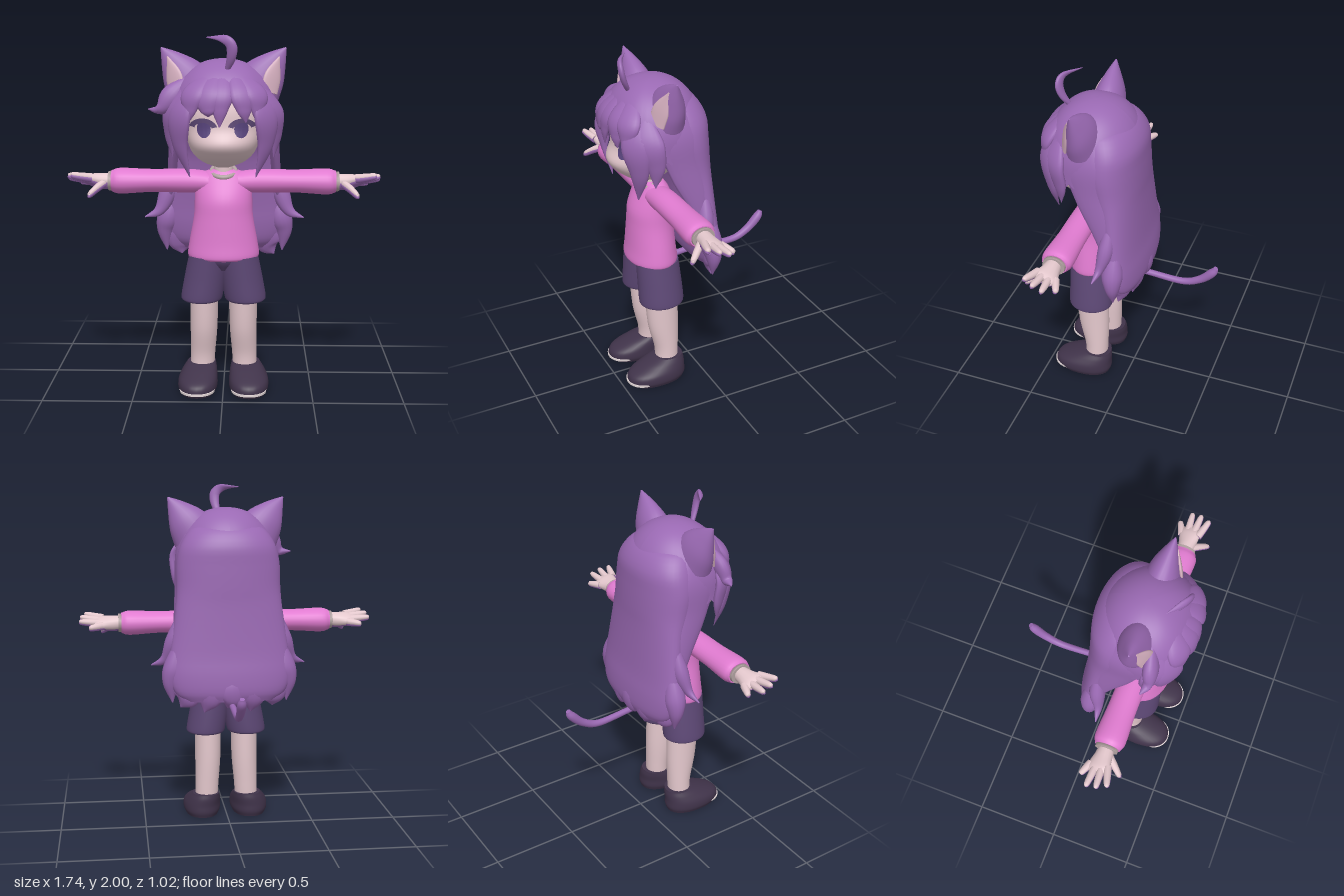
import * as THREE from 'three';

const mat = (name, color, side = THREE.FrontSide) => {
  const m = new THREE.MeshStandardMaterial({ color, side });
  m.name = name;
  return m;
};

// Sweeps an ellipse along a smooth path. Rows are [x, y, z, halfWidth, halfThickness].
// hint is the width direction; axis, if given, keeps every ring square to it.
function sweep(rows, { hint = [1, 0, 0], axis = null, n = 16, m = 20, p = 1 } = {}) {
  const path = new THREE.CatmullRomCurve3(rows.map(r => new THREE.Vector3(r[0], r[1], r[2])), false, 'catmullrom', 0.5);
  const size = new THREE.CatmullRomCurve3(rows.map(r => new THREE.Vector3(r[3], r[4], 0)), false, 'catmullrom', 0.5);
  const pos = [], idx = [], pow = v => Math.sign(v) * Math.abs(v) ** p;
  for (let i = 0; i <= m; i++) {
    const c = path.getPoint(i / m), s = size.getPoint(i / m);
    const T = axis ? new THREE.Vector3(...axis) : path.getTangent(i / m);
    const S = new THREE.Vector3(...hint);
    S.addScaledVector(T, -S.dot(T)).normalize();
    const N = T.clone().cross(S);
    for (let j = 0; j < n; j++) {
      const a = j / n * Math.PI * 2;
      const v = c.clone().addScaledVector(S, pow(Math.cos(a)) * Math.max(s.x, 0.001))
        .addScaledVector(N, pow(Math.sin(a)) * Math.max(s.y, 0.001));
      pos.push(v.x, v.y, v.z);
    }
    if (i < m) for (let j = 0; j < n; j++) {
      const a = i * n + j, b = i * n + (j + 1) % n;
      idx.push(a, b, b + n, a, b + n, a + n);
    }
  }
  // separate rings for the end caps keep their rims sharp
  for (const end of [0, m]) {
    const base = pos.length / 3, c = path.getPoint(end / m);
    pos.push(...pos.slice(end * n * 3, (end + 1) * n * 3), c.x, c.y, c.z);
    for (let j = 0; j < n; j++) {
      const a = base + j, b = base + (j + 1) % n;
      if (end) idx.push(a, b, base + n); else idx.push(b, a, base + n);
    }
  }
  const g = new THREE.BufferGeometry();
  g.setAttribute('position', new THREE.Float32BufferAttribute(pos, 3));
  g.setIndex(idx);
  g.computeVertexNormals();
  return g;
}

// Stacks horizontal rings. Rows are [y, halfX, halfZ, centreZ, centreX].
const loft = (rows, opt = {}) =>
  sweep(rows.map(([y, w, t, z, x = 0]) => [x, y, z, w, t]), { axis: [0, 1, 0], n: 32, m: 32, ...opt });

export function createModel() {
  const root = new THREE.Group();
  const hair = mat('hair purple', 0x9a69b3, THREE.DoubleSide);
  const skin = mat('skin', 0xe4c8cd);
  const pink = mat('sweater pink', 0xe07bd0);
  const navy = mat('shorts purple', 0x5c4774);
  const dark = mat('shoe dark', 0x40334a);
  const grey = mat('trim grey', 0xb3a3a3);
  const inner = mat('ear inside', 0xd6b0c0);
  const iris = mat('eye purple', 0x56427a);
  const cream = mat('sole light', 0xe8dcdc);
  const add = (name, g, m, parent = root) => {
    const mesh = new THREE.Mesh(g, m);
    mesh.name = name;
    parent.add(mesh);
    return mesh;
  };

  // Head with the face jutting forward at nose height, and neck
  const head = add('head', loft([[1.285, 0.04, 0.04, 0.3], [1.312, 0.115, 0.11, 0.275], [1.36, 0.168, 0.172, 0.273],
    [1.42, 0.195, 0.218, 0.264], [1.5, 0.212, 0.2, 0.252], [1.6, 0.22, 0.192, 0.25], [1.72, 0.17, 0.17, 0.24]],
    { n: 48 }), skin);
  add('neck', loft([[1.2, 0.055, 0.055, 0.23], [1.33, 0.05, 0.05, 0.24]]), skin);

  // Eyes: thin patches laid onto the face
  head.updateMatrixWorld();
  const ray = new THREE.Raycaster();
  const onFace = (g, lift) => {
    const q = g.attributes.position;
    for (let i = 0; i < q.count; i++) {
      ray.set(new THREE.Vector3(q.getX(i), q.getY(i), 2), new THREE.Vector3(0, 0, -1));
      const hit = ray.intersectObject(head)[0];
      q.setZ(i, (hit ? hit.point.z : 0.4) + lift);
    }
    g.computeVertexNormals();
    return g;
  };
  for (const s of [-1, 1]) {
    add('iris', onFace(new THREE.RingGeometry(0.0005, 1, 28, 6).scale(0.038, 0.048, 1).translate(s * 0.1, 1.507, 0), 0.005), iris);
    add('eyelash', onFace(new THREE.RingGeometry(0.62, 1, 28, 3, 0.3, Math.PI - 0.6)
      .scale(0.08, 0.062, 1).translate(s * 0.105, 1.5, 0), 0.008), navy);
  }

  // Hair cap, open over the face, boxier at the front than at the back
  const smooth = THREE.MathUtils.smoothstep;
  const cap = new THREE.SphereGeometry(1, 48, 24);
  const cp = cap.attributes.position, uv = cap.attributes.uv;
  for (let i = 0; i < cp.count; i++) {
    const a = uv.getX(i) * Math.PI * 2 - Math.PI, b = Math.abs(a);
    const phi = (1 - uv.getY(i)) * (1.28 + 0.6 * smooth(b, 0.75, 1.15) - 0.3 * smooth(b, 1.9, 2.3));
    const r = phi < Math.PI / 2 ? Math.sin(phi) ** 0.93 : 1;
    const k = Math.cos(a) > 0 ? 0.84 : 1;
    cp.setXYZ(i, Math.sign(a) * Math.abs(Math.sin(a)) ** k * 0.3 * r, 1.56 + 0.31 * Math.cos(phi),
      0.215 + Math.sign(Math.cos(a)) * Math.abs(Math.cos(a)) ** k * (k < 1 ? 0.28 : 0.27) * r);
  }
  // turn the faces that the remapping leaves inside out
  const ci = cap.index.array, A = new THREE.Vector3(), B = new THREE.Vector3(), C = new THREE.Vector3();
  for (let i = 0; i < ci.length; i += 3) {
    [A, B, C].forEach((v, k) => v.fromBufferAttribute(cp, ci[i + k]));
    const mid = A.clone().add(B).add(C).divideScalar(3).sub(new THREE.Vector3(0, 1.45, 0.215));
    if (B.sub(A).cross(C.sub(A)).dot(mid) < 0) [ci[i + 1], ci[i + 2]] = [ci[i + 2], ci[i + 1]];
  }
  cap.computeVertexNormals();
  add('hairCap', cap, hair);

  // Fringe and side locks: points [x, y, halfWidth, zOffset] resting on the cap
  const lock = (name, pts) => {
    const rows = pts.map(([x, y, w, dz = 0]) => {
      const d = 1 - Math.abs(x / 0.315) ** 2.4 - (Math.max(0, y - 1.56) / 0.32) ** 2;
      return [x, y, 0.207 + 0.285 * Math.max(d, 0.03) ** 0.45 + dz, w, Math.min(0.026, w * 0.45)];
    });
    const [x, , z] = rows[1];
    add(name, sweep(rows, { hint: [(z - 0.215) / 0.081, 0, -x / 0.096], m: 24 }), hair);
  };
  [[-0.05, -0.15, -0.19, 1.53, 0.07], [-0.02, -0.075, -0.075, 1.575, 0.075], [0.0, -0.01, -0.015, 1.52, 0.07],
    [0.04, 0.1, 0.125, 1.545, 0.07], [0.06, 0.17, 0.2, 1.5, 0.07]].forEach(([x0, x1, x2, y, w]) =>
    lock('fringeLock', [[x0, 1.83, 0.012, -0.025], [x1, 1.7, w, -0.004], [x1 * 0.4 + x2 * 0.6, 1.61, w * 0.62], [x2, y, 0.003]]));
  for (const s of [-1, 1]) {
    lock('sideLock', [[s * 0.14, 1.8, 0.012, -0.03], [s * 0.225, 1.6, 0.08, -0.005], [s * 0.23, 1.42, 0.055, -0.02], [s * 0.178, 1.24, 0.003, -0.07]]);
    lock('outerLock', [[s * 0.19, 1.76, 0.012, -0.03], [s * 0.268, 1.6, 0.085, -0.01], [s * 0.285, 1.47, 0.055, -0.02], [s * 0.275, 1.34, 0.003, -0.04]]);
    add('templeHair', sweep([[s * 0.22, 1.76, 0.18, 0.03, 0.012], [s * 0.272, 1.6, 0.18, 0.12, 0.026], [s * 0.28, 1.42, 0.15, 0.1, 0.028],
      [s * 0.295, 1.22, 0.08, 0.07, 0.026], [s * 0.315, 1.02, 0.04, 0.02, 0.012]], { hint: [0, 0, 1] }), hair);
  }
  add('cheekWisp', sweep([[-0.17, 1.78, 0.3, 0.01, 0.01], [-0.27, 1.68, 0.33, 0.06, 0.04],
    [-0.335, 1.605, 0.34, 0.034, 0.028], [-0.405, 1.6, 0.32, 0.003, 0.003]]), hair);
  add('topCurl', sweep([[0.02, 1.81, 0.36, 0.012, 0.012], [0.045, 1.88, 0.395, 0.025, 0.016], [0.045, 1.945, 0.41, 0.03, 0.016],
    [0, 1.98, 0.395, 0.022, 0.012], [-0.09, 1.985, 0.33, 0.002, 0.002]], { hint: [1, 0.3, 0.3] }), hair);

  // Long back hair with ragged ends and flicked wisps
  add('backHair', loft([[0.765, 0.26, 0.06, -0.025], [0.82, 0.325, 0.088, -0.015], [0.92, 0.355, 0.098, -0.002], [1.05, 0.345, 0.098, 0.014],
    [1.3, 0.312, 0.116, 0.047], [1.42, 0.304, 0.145, 0.077], [1.55, 0.302, 0.165, 0.1], [1.66, 0.276, 0.165, 0.108],
    [1.75, 0.215, 0.14, 0.14], [1.79, 0.13, 0.08, 0.17]], { p: 0.95, n: 48 }), hair);
  for (let i = -2; i <= 2; i++) {
    const x = i * 0.12, z = -0.062 + i * i * 0.013;
    add('backTip', sweep([[x * 0.95, 1.0, z + 0.04, 0.03, 0.01], [x * 1.02, 0.87, z + 0.004, 0.085, 0.044], [x * 1.06, 0.78, z - 0.005, 0.075, 0.036],
      [x * 1.12 + 0.02, i % 2 ? 0.7 : 0.725, z + 0.005, 0.003, 0.003]], { hint: [1, 0, i * 0.15] }), hair);
  }
  for (const s of [-1, 1]) {
    add('hairWisp', sweep([[s * 0.27, 1.3, 0.04, 0.012, 0.012], [s * 0.318, 1.12, 0.05, 0.05, 0.045], [s * 0.37, 1.0, 0.075, 0.032, 0.025],
      [s * 0.455, 0.96, 0.09, 0.003, 0.003]]), hair);
    add('hairLobe', sweep([[s * 0.28, 1.15, 0.01, 0.012, 0.012], [s * 0.32, 0.97, 0.015, 0.062, 0.06], [s * 0.343, 0.87, 0.01, 0.05, 0.045],
      [s * 0.335, 0.75, 0.01, 0.003, 0.003]]), hair);
  }

  // Cat ears and tail
  for (const s of [-1, 1]) {
    add('ear', sweep([[s * 0.185, 1.72, 0.22, 0.14, 0.1], [s * 0.238, 1.795, 0.22, 0.11, 0.076], [s * 0.29, 1.865, 0.225, 0.06, 0.042],
      [s * 0.34, 1.928, 0.23, 0.004, 0.004]], { n: 24 }), hair);
    add('earInside', sweep([[s * 0.25, 1.69, 0.305, 0.05, 0.012], [s * 0.268, 1.78, 0.286, 0.05, 0.013],
      [s * 0.303, 1.88, 0.256, 0.004, 0.006]], { hint: [0.8, -0.5 * s, -0.4 * s] }), inner);
  }
  add('tail', sweep([[0, 0.73, 0.13, 0.018, 0.018], [-0.005, 0.74, -0.05, 0.018, 0.018], [-0.01, 0.725, -0.29, 0.02, 0.02],
    [-0.01, 0.765, -0.4, 0.023, 0.023], [-0.01, 0.835, -0.475, 0.026, 0.026], [-0.01, 0.875, -0.497, 0.014, 0.014]], { m: 40 }), hair);

  // Sweater, collar and shorts
  add('sweater', loft([[0.765, 0.185, 0.135, 0.243], [0.785, 0.2, 0.145, 0.243], [0.86, 0.19, 0.137, 0.243], [1.0, 0.165, 0.128, 0.243],
    [1.1, 0.16, 0.123, 0.238], [1.2, 0.155, 0.09, 0.225], [1.245, 0.11, 0.066, 0.225], [1.262, 0.06, 0.05, 0.23]]), pink);
  add('collar', new THREE.TorusGeometry(0.066, 0.014, 8, 28).rotateX(Math.PI / 2 + 0.4).translate(0, 1.25, 0.24), grey);
  add('shortsHip', loft([[0.7, 0.04, 0.08, 0.238], [0.75, 0.17, 0.115, 0.238], [0.8, 0.185, 0.128, 0.24]]), navy);

  for (const s of [-1, 1]) {
    const side = new THREE.Group();
    side.name = s > 0 ? 'leftLimbs' : 'rightLimbs';
    root.add(side);
    const put = (name, g, m) => add(name, g, m, side);
    // Leg, shorts leg and shoe
    put('shortsLeg', loft([[0.52, 0.108, 0.124, 0.233, s * 0.124], [0.54, 0.117, 0.132, 0.233, s * 0.122],
      [0.65, 0.115, 0.13, 0.235, s * 0.105], [0.78, 0.106, 0.126, 0.24, s * 0.088]]), navy);
    put('leg', loft([[0.1, 0.068, 0.068, 0.205, s * 0.122], [0.2, 0.07, 0.072, 0.205, s * 0.118], [0.36, 0.077, 0.092, 0.22, s * 0.112],
      [0.58, 0.08, 0.1, 0.23, s * 0.11]]), skin);
    put('shoe', loft([[0, 0.1, 0.168, 0.283, s * 0.145], [0.03, 0.112, 0.18, 0.285, s * 0.145], [0.07, 0.11, 0.17, 0.276, s * 0.143],
      [0.11, 0.096, 0.128, 0.234, s * 0.134], [0.14, 0.08, 0.085, 0.197, s * 0.126]], { p: 0.9 }), dark);
    put('toeStrip', loft([[0.017, 0.098, 0.1, 0.371, s * 0.145], [0.03, 0.1, 0.1, 0.371, s * 0.145]], { m: 2 }), cream);

    // Sleeve, cuff and hand
    const X = { hint: [0, 0, 1] }, tilt = { hint: [0, 0.35, 1] };
    put('sleeve', sweep([[s * 0.08, 1.19, 0.23, 0.075, 0.058], [s * 0.2, 1.195, 0.228, 0.078, 0.066], [s * 0.4, 1.195, 0.226, 0.08, 0.064],
      [s * 0.57, 1.193, 0.226, 0.088, 0.072], [s * 0.622, 1.193, 0.226, 0.072, 0.06]], { ...X, n: 24 }), pink);
    put('cuff', sweep([[s * 0.6, 1.193, 0.226, 0.066, 0.056], [s * 0.64, 1.193, 0.226, 0.064, 0.054]], { ...X, n: 24, m: 2 }), grey);
    // each hand is a skin layer over a purple underside, its front edge tilted up
    const digits = [[0.81, 1.178, 0.14], [0.87, 1.208, 0.195], [0.865, 1.226, 0.25], [0.84, 1.238, 0.305], [0.74, 1.135, 0.345]];
    for (const [label, m, dy, dz, k] of [['', skin, 0, 0, 1], ['Underside', hair, -0.008, 0.003, 0.92]]) {
      put('palm' + label, sweep([[s * 0.62, 1.195 + dy, 0.226 + dz, 0.042 * k, 0.042 * k], [s * 0.68, 1.193 + dy, 0.226 + dz, 0.052 * k, 0.042 * k],
        [s * 0.74, 1.2 + dy, 0.222 + dz, 0.064 * k, 0.03 * k], [s * 0.775, 1.204 + dy, 0.222 + dz, 0.05 * k, 0.016 * k]], tilt), m);
      digits.forEach(([x, y, z], i) => {
        const x0 = i === 4 ? 0.66 : 0.73, z0 = i === 4 ? 0.25 : 0.175 + i * 0.032, y0 = i === 4 ? 1.19 : 1.186 + i * 0.011;
        put((i === 4 ? 'thumb' : 'finger') + label, sweep([[s * x0, y0 + dy, z0 + dz, 0.022 * k, 0.022 * k],
          [s * (x0 + x) / 2, (y0 + y) / 2 + dy, (z0 + z) / 2 + dz, 0.02 * k, 0.019 * k],
          [s * (x * 0.9 + x0 * 0.1), y + dy, z * 0.9 + z0 * 0.1 + dz, 0.015 * k, 0.014 * k],
          [s * x, y + dy, z + dz, 0.005, 0.005]], { ...tilt, n: 10, m: 10 }), m);
      });
    }
  }
  return root;
}
